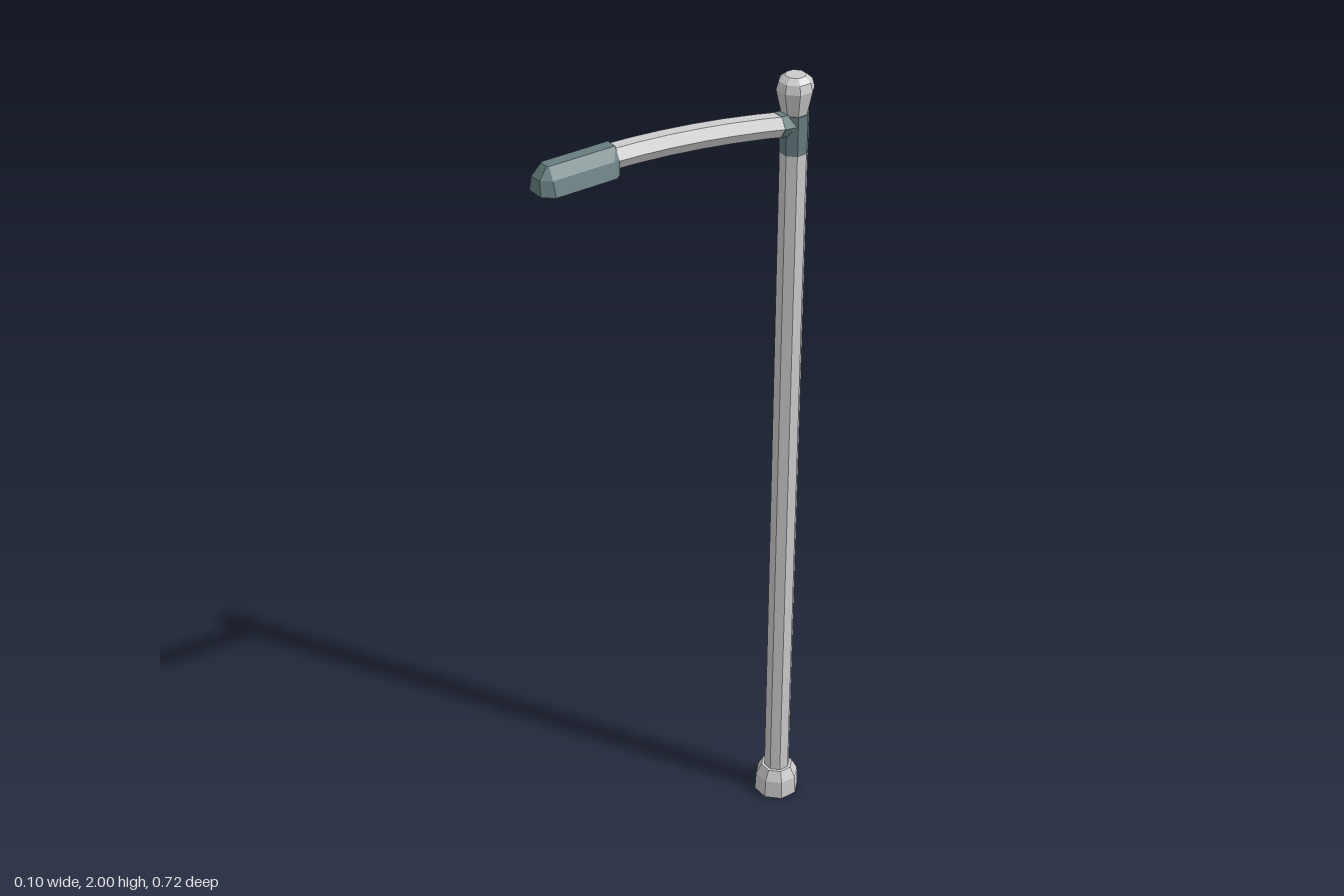
import * as THREE from 'three';

const POLE_Z = -0.308;
const grey = new THREE.MeshStandardMaterial({ color: 0xcccccc, flatShading: true });
const teal = new THREE.MeshStandardMaterial({ color: 0x667c7e, flatShading: true });

// Skin over rings of equal point count, closed at both ends
function loft(rings) {
  const n = rings[0].length, last = (rings.length - 1) * n, index = [];
  for (let r = 0; r < rings.length - 1; r++) {
    for (let i = 0; i < n; i++) {
      const a = r * n + i, b = r * n + (i + 1) % n;
      index.push(a, b, b + n, a, b + n, a + n);
    }
  }
  for (let i = 1; i < n - 1; i++) {
    index.push(0, i + 1, i, last, last + i, last + i + 1);
  }
  const geometry = new THREE.BufferGeometry();
  geometry.setAttribute('position', new THREE.Float32BufferAttribute(rings.flat(2), 3));
  geometry.setIndex(index);
  const flat = geometry.toNonIndexed();
  flat.computeVertexNormals();
  return flat;
}

// Upright eight-sided part; profile holds [half width, y]
function octagonal(profile) {
  const points = profile.map(([w, y]) => new THREE.Vector2(w / Math.cos(Math.PI / 8), y));
  return new THREE.LatheGeometry(points, 8, Math.PI / 8).translate(0, 0, POLE_Z);
}

// Hexagon facing along z, with corners at the sides
function hexRing(y, z, radius) {
  return Array.from({ length: 6 }, (_, i) => {
    const a = i * Math.PI / 3;
    return [radius * Math.cos(a), y + radius * Math.sin(a), z];
  });
}

// Lamp outline at one height: half widths and depths, front to back, then mirrored
function lampRing(y, half) {
  const right = half.map(([x, z]) => [x, y, z]);
  const left = half.map(([x, z]) => [-x, y, z]).reverse();
  return [...right, ...left];
}

export function createModel() {
  const model = new THREE.Group();
  function add(name, geometry, material) {
    const mesh = new THREE.Mesh(geometry, material);
    mesh.name = name;
    model.add(mesh);
  }

  // Post
  add('base', octagonal([[0, 0], [0.052, 0], [0.05, 0.05], [0.037, 0.077], [0, 0.077]]), grey);
  add('pole', octagonal([[0.03, 0.07], [0.03, 1.83]]), grey);
  add('sleeve', octagonal([[0, 1.818], [0.031, 1.818], [0.031, 1.912], [0, 1.912]]), teal);
  add('finial', octagonal([[0.028, 1.91], [0.04, 1.968], [0.035, 1.988], [0.022, 2], [0, 2]]), grey);

  // Curved arm and the socket holding it
  const curve = new THREE.QuadraticBezierCurve3(
    new THREE.Vector3(0, 1.885, -0.3),
    new THREE.Vector3(0, 1.938, -0.04),
    new THREE.Vector3(0, 1.943, 0.19));
  add('arm', loft(curve.getPoints(6).map(p => hexRing(p.y, p.z, 0.028))), grey);
  add('armSocket', loft([hexRing(1.888, -0.3, 0.029), hexRing(1.892, -0.262, 0.029)]), teal);

  // Lamp housing: recess ceiling, inner rim, outer rim, shoulder, top
  add('lampHousing', loft([
    lampRing(1.94, [[0.012, 0.34], [0.024, 0.325], [0.024, 0.195], [0.018, 0.185]]),
    lampRing(1.912, [[0.017, 0.35], [0.034, 0.33], [0.034, 0.19], [0.023, 0.18]]),
    lampRing(1.912, [[0.022, 0.36], [0.042, 0.335], [0.042, 0.185], [0.03, 0.17]]),
    lampRing(1.946, [[0.016, 0.358], [0.031, 0.335], [0.031, 0.185], [0.028, 0.17]]),
    lampRing(1.972, [[0.01, 0.337], [0.014, 0.333], [0.014, 0.185], [0.014, 0.17]]),
  ]), teal);

  return model;
}
